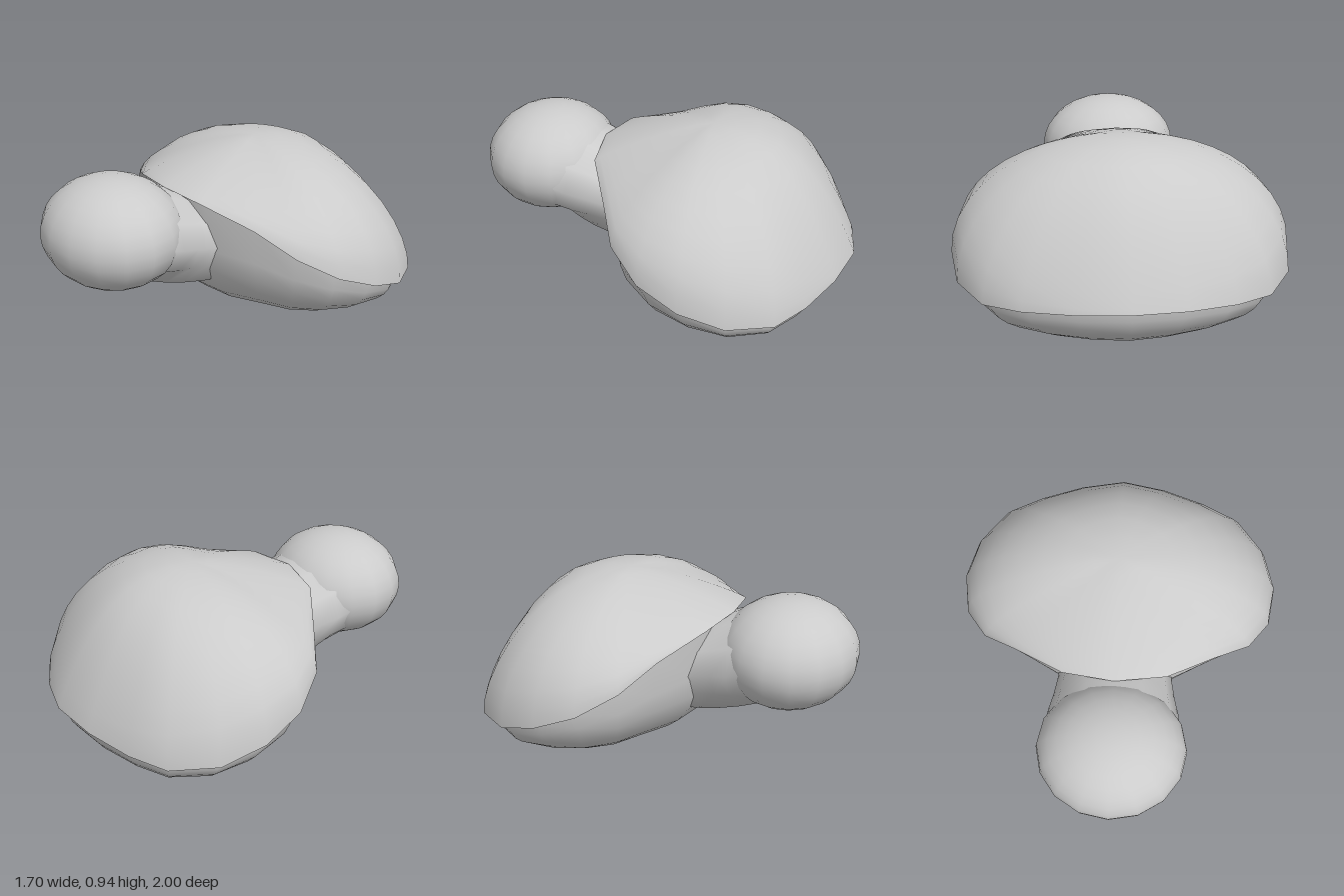
import * as THREE from 'three';
import { mergeVertices } from 'three/addons/utils/BufferGeometryUtils.js';

const grey = new THREE.MeshStandardMaterial({ color: 0xcccccc, side: THREE.DoubleSide });

// Skins a list of closed rings (arrays of [x, y, z]) with a smooth surface.
function skin(name, rings) {
  const n = rings[0].length, index = [];
  for (let i = 0; i < rings.length - 1; i++) {
    for (let j = 0; j < n; j++) {
      const k = (j + 1) % n, a = i * n, b = a + n;
      index.push(a + j, b + j, b + k, a + j, b + k, a + k);
    }
  }
  let geo = new THREE.BufferGeometry();
  geo.setAttribute('position', new THREE.Float32BufferAttribute(rings.flat(2), 3));
  geo.setIndex(index);
  geo = mergeVertices(geo, 1e-4);
  geo.computeVertexNormals();
  const mesh = new THREE.Mesh(geo, grey);
  mesh.name = name;
  return mesh;
}

// Mirrors a half outline whose first and last points lie on x = 0.
const mirror = half => [...half, ...half.slice(1, -1).reverse().map(([x, ...r]) => [-x, ...r])];

// Shell rim, from the raised front round the left side to the back.
const rim = mirror([
  [0, 0.78, 0.35], [0.26, 0.76, 0.31], [0.5, 0.665, 0.17], [0.69, 0.555, 0.06],
  [0.81, 0.45, -0.11], [0.85, 0.365, -0.32], [0.81, 0.295, -0.54], [0.68, 0.27, -0.745],
  [0.5, 0.28, -0.855], [0.26, 0.3, -0.95], [0, 0.315, -1],
]);
const inset = (k, dy) => rim.map(([x, y, z]) => [x * k, y + dy, -0.32 + (z + 0.32) * k]);

// Rings from an apex out to an edge; rise(s, c) gives the height fraction,
// with c running from 1 at the front to -1 at the back.
function dome(edge, apex, rise, steps = 10) {
  return Array.from({ length: steps + 1 }, (_, i) => {
    const s = Math.sin((i / steps) * Math.PI / 2);
    return edge.map(([x, y, z], j) => {
      const c = Math.cos((j / edge.length) * Math.PI * 2);
      return [x * s, apex[1] + (y - apex[1]) * rise(s, c), apex[2] + (z - apex[2]) * s];
    });
  });
}

export function createModel() {
  const model = new THREE.Group();

  // Domed shell: round at the sides, flatter slope to the front, flared back
  model.add(skin('shell', dome(rim, [0, 0.937, -0.24], (s, c) => {
    const round = 1 - Math.sqrt(Math.max(0, 1 - s * s));
    return round + (Math.pow(s, c > 0 ? 1.45 : 2.8) - round) * c * c;
  })));

  // Underside of the overhanging rim
  model.add(skin('shellRim', [rim, inset(0.94, -0.01), inset(0.8, 0)]));

  // Belly bowl with a steeper chest
  const belly = dome(inset(0.94, -0.01), [0, 0, -0.45], (s, c) =>
    1 - Math.pow(Math.max(0, 1 - s * s), 1 / (2 + 1.5 * Math.max(0, c) ** 2)));
  model.add(skin('body', belly.reverse()));

  // Neck: flat-bottomed sections [z, half width, floor width, bottom, top]
  const sections = [
    [0.58, 0.345, 0.08, 0.36, 0.88], [0.45, 0.33, 0.15, 0.335, 0.82],
    [0.36, 0.31, 0.18, 0.32, 0.785], [0.26, 0.295, 0.2, 0.306, 0.745], [0.08, 0.29, 0.2, 0.28, 0.65],
  ];
  model.add(skin('neck', sections.map(([z, w, f, b, t]) => {
    const y = k => b + (t - b) * k;
    return mirror([
      [0, b, z], [f, b, z], [w * 0.83, y(0.24), z], [w, y(0.5), z],
      [w * 0.85, y(0.76), z], [w * 0.44, y(0.95), z], [0, t, z],
    ]);
  })));

  // Rounded head
  const head = new THREE.Mesh(new THREE.SphereGeometry(1, 16, 16), grey);
  head.name = 'head';
  head.scale.set(0.375, 0.278, 0.345);
  head.position.set(0, 0.628, 0.655);
  model.add(head);

  return model;
}
